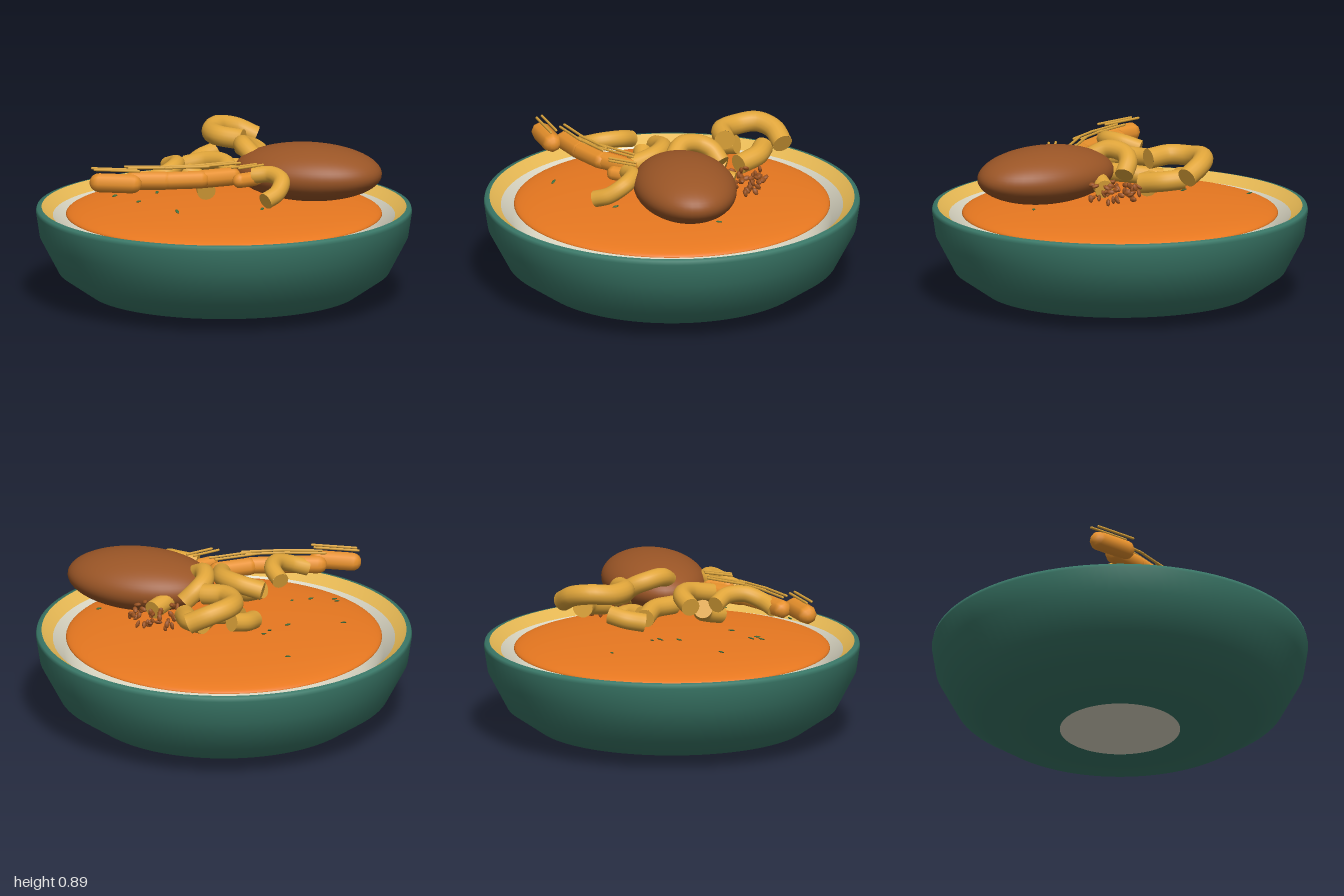
import * as THREE from 'three';

const mat = (color, side = THREE.FrontSide) => new THREE.MeshStandardMaterial({ color, side });
const v2 = (pts) => pts.map(([x, y]) => new THREE.Vector2(x, y));

function rng(seed) {
  let s = seed;
  return () => (s = (s * 16807) % 2147483647) / 2147483647;
}

export function createModel() {
  const group = new THREE.Group();
  const add = (name, geometry, material, parent = group) => {
    const mesh = new THREE.Mesh(geometry, material);
    mesh.name = name;
    parent.add(mesh);
    return mesh;
  };
  const subgroup = (name) => {
    const g = new THREE.Group();
    g.name = name;
    group.add(g);
    return g;
  };

  // Bowl: glazed outside, gilded rim band and pale lining
  const cream = mat(0xe0dcc8, THREE.DoubleSide);
  add('bowlOutside', new THREE.LatheGeometry(v2([
    [0.32, 0.005], [0.5, 0.012], [0.72, 0.06], [0.88, 0.17], [0.98, 0.36], [1, 0.49], [0.995, 0.51], [0.97, 0.515],
  ]), 96), mat(0x3a7868, THREE.DoubleSide));
  add('rimBand', new THREE.LatheGeometry(v2([[0.91, 0.47], [0.95, 0.495], [0.975, 0.514]]).reverse(), 96),
    mat(0xe6b854, THREE.DoubleSide));
  add('bowlLining', new THREE.LatheGeometry(v2([
    [0.91, 0.47], [0.85, 0.39], [0.75, 0.22], [0.5, 0.1], [0.001, 0.07],
  ]), 96), cream);
  const foot = add('bowlFoot', new THREE.CircleGeometry(0.322, 64), cream);
  foot.rotation.x = Math.PI / 2;
  foot.position.y = 0.006;

  // Gently domed soup surface
  const soup = add('soup', new THREE.SphereGeometry(0.84, 96, 24, 0, Math.PI * 2, 0, Math.PI / 2), mat(0xe87820));
  soup.scale.y = 0.08 / 0.84;
  soup.position.y = 0.475;

  // Large meatball
  const meatball = add('meatball', new THREE.SphereGeometry(1, 48, 32), mat(0x9a5526));
  meatball.scale.set(0.402, 0.15, 0.27);
  meatball.rotation.y = -0.5;
  meatball.position.set(0.407, 0.74, 0.243);

  // Curved noodles, each a tube through a few points with flat ends
  const noodles = subgroup('noodles');
  const noodleMat = mat(0xe0a53a);
  const paths = [
    [0.055, [0.15, 0.82, -0.24], [0.04, 0.83, -0.31], [0.02, 0.83, -0.42], [0.07, 0.84, -0.52], [0.17, 0.82, -0.555], [0.28, 0.77, -0.53]],
    [0.055, [0.19, 0.74, -0.47], [0.25, 0.73, -0.38], [0.255, 0.71, -0.25]],
    [0.05, [-0.11, 0.68, -0.3], [-0.05, 0.7, -0.38], [0.03, 0.72, -0.42]],
    [0.05, [0.15, 0.79, 0.12], [0.105, 0.84, 0.02], [0.12, 0.83, -0.08], [0.17, 0.8, -0.13], [0.24, 0.74, -0.14]],
    [0.05, [-0.04, 0.68, -0.23], [0.03, 0.7, -0.1], [0.03, 0.7, 0.04]],
    [0.05, [0.03, 0.68, -0.2], [0.1, 0.68, -0.2], [0.15, 0.66, -0.24]],
    [0.05, [0.4, 0.69, -0.1], [0.32, 0.71, -0.03], [0.26, 0.72, 0.06]],
    [0.05, [-0.2, 0.74, -0.05], [-0.08, 0.77, 0], [-0.015, 0.77, 0.1], [-0.03, 0.74, 0.26]],
    [0.05, [-0.21, 0.72, 0.03], [-0.14, 0.68, 0.1], [-0.14, 0.65, 0.22]],
    [0.045, [-0.31, 0.76, 0.03], [-0.285, 0.79, 0.13], [-0.32, 0.79, 0.23], [-0.4, 0.76, 0.28], [-0.5, 0.73, 0.28]],
    [0.045, [0.08, 0.76, 0.37], [0.17, 0.77, 0.41], [0.21, 0.75, 0.5], [0.17, 0.7, 0.57], [0.1, 0.67, 0.61]],
  ];
  for (const [r, ...pts] of paths) {
    const curve = new THREE.CatmullRomCurve3(pts.map((p) => new THREE.Vector3(...p)));
    add('noodle', new THREE.TubeGeometry(curve, 28, r, 16), noodleMat, noodles);
    for (const t of [0, 1]) {
      const cap = add('noodleEnd', new THREE.CircleGeometry(r, 16), noodleMat, noodles);
      const dir = curve.getTangentAt(t).multiplyScalar(t ? 1 : -1);
      cap.position.copy(curve.getPointAt(t));
      cap.quaternion.setFromUnitVectors(new THREE.Vector3(0, 0, 1), dir);
    }
  }

  // Row of faceted carrot pieces with thin strips lying above: x, z, length, turn
  const carrots = subgroup('carrotPieces');
  const carrotMat = mat(0xe8912c);
  const stripMat = mat(0xd9a23a);
  for (const [x, z, len, turn, r] of [
    [-0.655, 0.327, 0.28, -0.36, 0.052], [-0.47, 0.3, 0.27, -0.2, 0.05], [-0.28, 0.325, 0.27, -0.05, 0.048],
    [-0.1, 0.3, 0.27, 0.2, 0.05], [0.05, 0.38, 0.18, 0.4, 0.04],
  ]) {
    const piece = new THREE.Group();
    piece.name = 'carrotPiece';
    piece.position.set(x, 0.74, z);
    piece.rotation.y = turn;
    carrots.add(piece);
    const body = add('carrotBody', new THREE.CapsuleGeometry(r, len - 2 * r, 4, 8), carrotMat, piece);
    body.rotation.z = Math.PI / 2;
    for (const side of [-1, 1]) {
      const strip = add('carrotStrip', new THREE.CapsuleGeometry(0.007, len * 0.85, 3, 8), stripMat, piece);
      strip.rotation.z = Math.PI / 2;
      strip.position.set(side * 0.01, 0.073, side * 0.018);
    }
  }

  // Crumbs beside the meatball
  const rand = rng(17);
  const crumbs = subgroup('crumbs');
  const crumbGeo = new THREE.SphereGeometry(1, 8, 6);
  const crumbMat = mat(0x9a5220);
  for (let i = 0; i < 42; i++) {
    const crumb = add('crumb', crumbGeo, crumbMat, crumbs);
    const a = rand() * Math.PI * 2, d = Math.sqrt(rand());
    crumb.position.set(0.39 + 0.17 * d * Math.cos(a), 0.64 + rand() * 0.09, -0.16 + 0.13 * d * Math.sin(a));
    crumb.scale.set(0.022, 0.01, 0.014);
    crumb.rotation.set(rand() * 2, rand() * 6, rand() * 2);
  }

  // Herb flakes floating over the soup
  const herbs = subgroup('herbs');
  const herbMat = mat(0x3c6b3a);
  for (const [x, z] of [
    [-0.235, -0.65], [-0.61, -0.205], [-0.305, -0.23], [-0.165, -0.295], [-0.61, 0.01], [-0.61, 0.085],
    [-0.495, 0.16], [-0.36, 0.52], [0.11, 0.475], [-0.38, 0.08], [-0.2, -0.27], [0.33, 0.1], [0.64, 0.2],
  ]) {
    const herb = add('herb', crumbGeo, herbMat, herbs);
    herb.position.set(x, 0.59 + rand() * 0.045, z);
    herb.scale.set(0.018, 0.004, 0.009);
    herb.rotation.set(rand() * 0.6, rand() * 6, 0);
  }
  return group;
}
